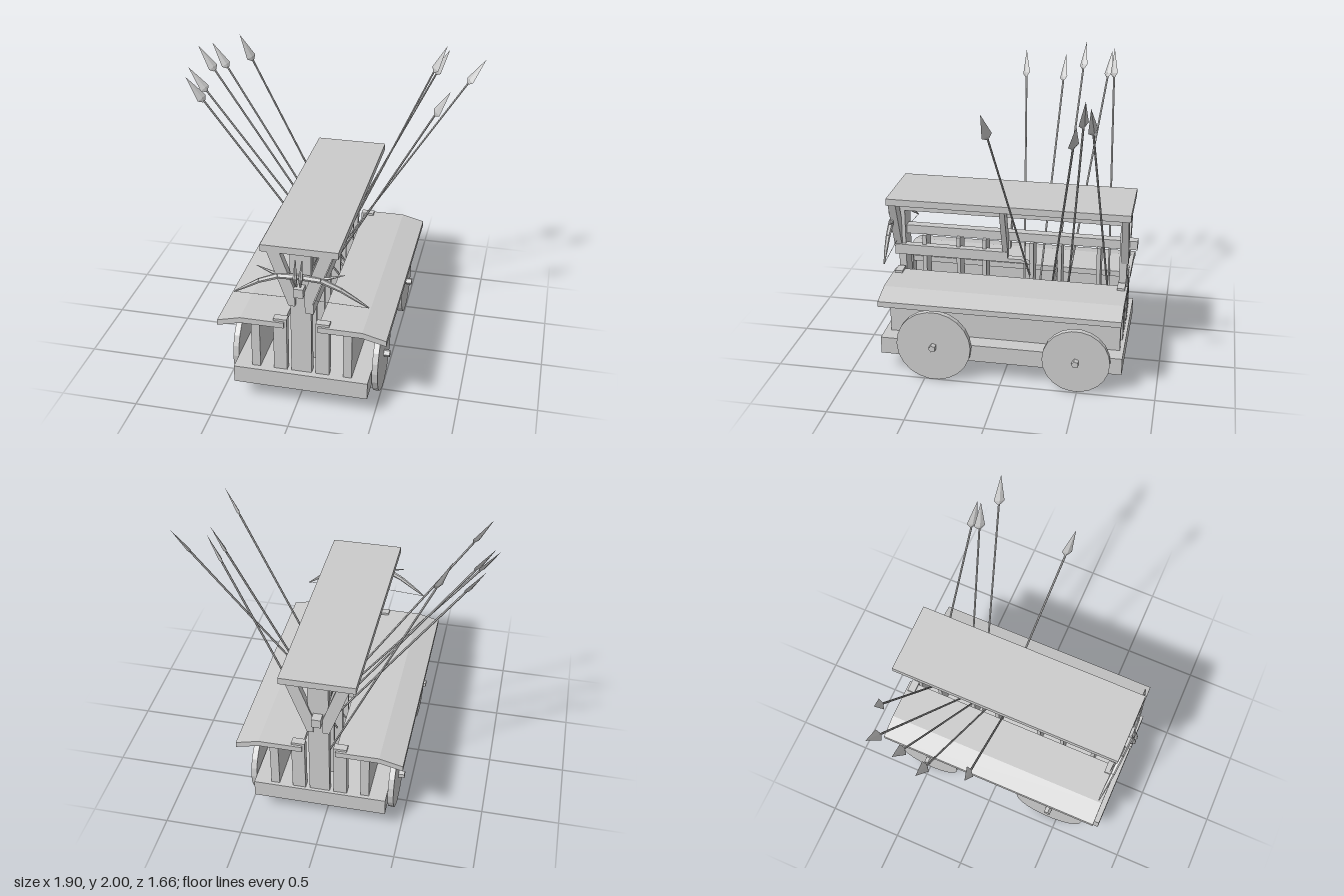
import * as THREE from 'three';

const CX = 0.03; // centre plane of the wagon
const mat = new THREE.MeshStandardMaterial({ color: 0xcccccc, flatShading: true, side: THREE.DoubleSide });

function add(parent, name, geo) {
  const m = new THREE.Mesh(geo, mat);
  m.name = name;
  parent.add(m);
  return m;
}

// Box given by its limits on each axis
function box(parent, name, x0, x1, y0, y1, z0, z1) {
  const m = add(parent, name, new THREE.BoxGeometry(x1 - x0, y1 - y0, z1 - z0));
  m.position.set((x0 + x1) / 2, (y0 + y1) / 2, (z0 + z1) / 2);
  return m;
}

// Outline in x/y, extruded from z0 to z1
function slab(parent, name, pts, z0, z1) {
  const shape = new THREE.Shape(pts.map(p => new THREE.Vector2(...p)));
  const geo = new THREE.ExtrudeGeometry(shape, { depth: z1 - z0, bevelEnabled: false });
  geo.translate(0, 0, z0);
  return add(parent, name, geo);
}

// Tapered rod between two points
function rod(parent, name, a, b, ra, rb, sides = 6) {
  const d = b.clone().sub(a);
  const m = add(parent, name, new THREE.CylinderGeometry(rb, ra, d.length(), sides));
  m.position.copy(a).add(b).multiplyScalar(0.5);
  m.quaternion.setFromUnitVectors(new THREE.Vector3(0, 1, 0), d.normalize());
  return m;
}

function wheel(parent, side, z, y, r) {
  const g = new THREE.Group();
  g.name = 'wheel';
  const disc = add(g, 'wheelDisc', new THREE.CylinderGeometry(r, r, 0.037, 22));
  const hub = add(g, 'hub', new THREE.CylinderGeometry(0.024, 0.024, 0.07, 5));
  disc.rotation.z = hub.rotation.z = Math.PI / 2;
  hub.position.x = side * 0.022;
  g.position.set(CX + side * 0.451, y, z);
  parent.add(g);
}

// Spear with a flat diamond blade
function spear(parent, base, tip) {
  const g = new THREE.Group();
  g.name = 'spear';
  const a = tip.clone().sub(base).normalize();
  const w = new THREE.Vector3(Math.sign(tip.x), 0, 1);
  w.addScaledVector(a, -w.dot(a)).normalize();
  const n = w.clone().cross(a);
  const neck = tip.clone().addScaledVector(a, -0.19);
  rod(g, 'shaft', base, neck, 0.0065, 0.0065);
  const blade = (name, top, bottom, h, at) => {
    const geo = new THREE.CylinderGeometry(top, bottom, h, 4);
    geo.scale(1, 1, 0.3);
    geo.applyMatrix4(new THREE.Matrix4().makeBasis(w, a, n));
    add(g, name, geo).position.copy(tip).addScaledVector(a, -at);
  };
  blade('bladePoint', 0, 0.035, 0.17, 0.085);
  blade('bladeNeck', 0.035, 0.012, 0.025, 0.1825);
  parent.add(g);
}

export function createModel() {
  const root = new THREE.Group();
  root.name = 'warWagon';

  // Chassis and wheels
  box(root, 'base', CX - 0.43, CX + 0.428, 0.14, 0.255, -0.78, 0.8);
  for (const s of [-1, 1]) {
    wheel(root, s, 0.437, 0.246, 0.245);
    wheel(root, s, -0.49, 0.228, 0.218);
  }

  // Side walls, bent decks and the short end posts
  for (const s of [-1, 1]) {
    const span = (a, b) => [CX + s * a, CX + s * b].sort((p, q) => p - q);
    box(root, 'sideWall', ...span(0.265, 0.32), 0.25, 0.58, -0.755, 0.76);
    slab(root, 'deck', [[0.107, 0.61], [0.385, 0.61], [0.534, 0.572], [0.534, 0.535], [0.385, 0.572], [0.107, 0.572]]
      .map(([x, y]) => [CX + s * x, y]), -0.775, 0.775);
    for (const z of [-0.735, 0.735])
      box(root, 'endPost', ...span(0.092, 0.177), 0.25, 0.625, z - 0.025, z + 0.025);
  }

  // Central end posts, slats and ridge beams
  for (const z of [-0.735, 0.735])
    box(root, 'mainPost', CX - 0.065, CX + 0.065, 0.25, 1.11, z - 0.024, z + 0.024);
  for (const z of [0.585, 0.355, 0.18, -0.135, -0.32, -0.575])
    box(root, 'slat', CX - 0.06, CX + 0.06, 0.25, 0.84, z - 0.013, z + 0.013);
  box(root, 'ridgeBeam', CX - 0.03, CX + 0.03, 0.835, 0.895, -0.82, 0.82);
  for (const s of [-1, 1])
    box(root, 'roofBeam', CX + s * 0.055 - 0.018, CX + s * 0.055 + 0.018, 1.015, 1.11, -0.72, 0.72);

  // Roof with cross battens and V braces
  box(root, 'roof', -0.21, 0.267, 1.11, 1.155, -0.785, 0.785);
  for (const z of [0.617, 0.145, -0.08, -0.315])
    box(root, 'roofBatten', CX - 0.19, CX + 0.19, 1.09, 1.11, z - 0.02, z + 0.02);
  for (const [z0, z1] of [[0.735, 0.785], [0.02, 0.055], [-0.77, -0.725]])
    for (const s of [-1, 1])
      slab(root, 'roofBrace', [[0.2, 1.11], [0.12, 1.11], [0.03, 0.86], [0.03, 0.75], [0.07, 0.75]]
        .map(([x, y]) => [CX + s * x, y]), z0, z1);

  // Launcher rail with a sloping tail
  const rail = slab(root, 'launcherRail',
    [[0.78, 0.705], [0.78, 0.775], [0.02, 0.775], [0.02, 0.73], [-0.07, 0.73], [-0.125, 0.7], [-0.125, 0.695], [-0.09, 0.705]], 0, 0.05);
  rail.rotation.y = -Math.PI / 2;
  rail.position.x = 0.115;

  // Bow: drooping limbs, short upper prongs and string
  const bow = new THREE.Group();
  bow.name = 'bow';
  root.add(bow);
  const V = (x, y, z) => new THREE.Vector3(x, y, z);
  for (const s of [-1, 1]) {
    const limb = [[0, 0.965, 0.79], [0.13, 0.955, 0.785], [0.25, 0.9, 0.775], [0.34, 0.84, 0.765], [0.42, 0.785, 0.755]]
      .map(([x, y, z]) => V(CX + s * x, y, z));
    const radii = [0.019, 0.018, 0.015, 0.011, 0.004];
    for (let i = 0; i < 4; i++) rod(bow, 'bowLimb', limb[i], limb[i + 1], radii[i], radii[i + 1]);
    rod(bow, 'bowProng', V(CX + s * 0.03, 0.965, 0.79), V(CX + s * 0.17, 0.965, 0.77), 0.013, 0.01);
    rod(bow, 'bowProng', V(CX + s * 0.17, 0.965, 0.77), V(CX + s * 0.27, 0.992, 0.755), 0.01, 0.002);
    rod(bow, 'bowString', limb[4], V(CX + s * 0.05, 0.8, 0.77), 0.002, 0.002, 4);
    // Paired claws at the grip
    rod(bow, 'claw', V(CX + s * 0.012, 0.91, 0.81), V(CX + s * 0.018, 0.97, 0.825), 0.006, 0.014);
    rod(bow, 'claw', V(CX + s * 0.018, 0.97, 0.825), V(CX + s * 0.02, 1.085, 0.8), 0.014, 0.003);
  }

  // Spears: tip x, y, z, depth where each passes the roof edge, base x, base y
  const spears = [
    [-0.705, 1.96, -0.56, -0.615, 0.0, 0.47],
    [-0.89, 1.9, -0.53, -0.41, 0.1, 0.42],
    [-0.925, 1.94, -0.345, -0.3, 0.11, 0.43],
    [-0.95, 1.84, -0.2, -0.19, 0.12, 0.45],
    [-0.875, 1.88, 0.068, -0.04, 0.1, 0.45],
    [0.71, 1.965, -0.565, -0.61, 0.0, 0.47],
    [0.695, 2.0, -0.533, -0.43, 0.0, 0.44],
    [0.95, 1.935, -0.515, -0.33, -0.05, 0.41],
    [0.79, 1.92, 0.045, -0.08, 0.0, 0.45],
  ];
  for (const [x, y, z, ze, bx, by] of spears) {
    const edge = x < 0 ? -0.21 : 0.267;
    const bz = z + (ze - z) * (bx - x) / (edge - x);
    spear(root, V(bx, by, bz), V(x, y, z));
  }
  return root;
}
